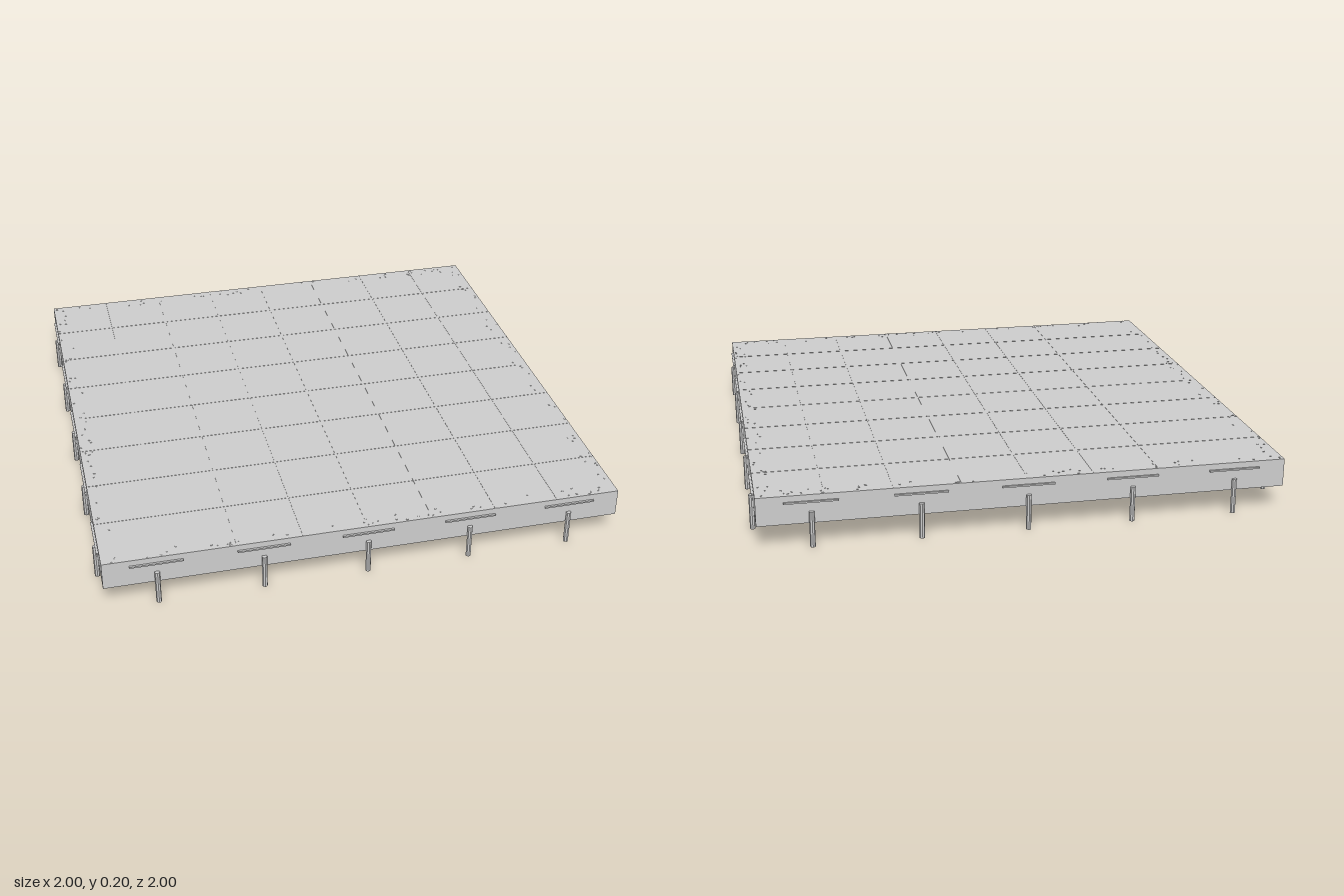
import * as THREE from 'three';

const HALF = 0.985, BOTTOM = 0.09, TOP = 0.198;

export function createModel() {
  const group = new THREE.Group();
  const mat = new THREE.MeshStandardMaterial({ color: 0xcccccc, flatShading: true });
  const add = (name, geometry, x, y, z, parent = group) => {
    const mesh = new THREE.Mesh(geometry, mat);
    mesh.name = name;
    mesh.position.set(x, y, z);
    parent.add(mesh);
    return mesh;
  };

  // Main slab
  add('slab', new THREE.BoxGeometry(2 * HALF, TOP - BOTTOM, 2 * HALF), 0, (TOP + BOTTOM) / 2, 0);

  // Thin seams dividing the top into eight by eight panels
  const seams = new THREE.Group();
  seams.name = 'panelSeams';
  group.add(seams);
  for (let i = -3; i <= 3; i++) {
    const p = i * HALF / 4;
    const length = i === 0 ? 1.88 : 2 * HALF;
    const width = i === 0 ? 0.008 : 0.005;
    add('seamAlongZ', new THREE.BoxGeometry(width, 0.002, length), p, TOP, 0, seams);
    add('seamAlongX', new THREE.BoxGeometry(length, 0.002, width), 0, TOP, p, seams);
  }

  // Posts and narrow edge strips, repeated on all four sides
  const post = new THREE.CylinderGeometry(0.01, 0.01, 0.135, 8);
  const strip = new THREE.BoxGeometry(0.196, 0.006, 0.012);
  for (let s = 0; s < 4; s++) {
    const side = new THREE.Group();
    side.name = 'edgeFittings';
    side.rotation.y = s * Math.PI / 2;
    group.add(side);
    for (let i = -2; i <= 2; i++) {
      add('post', post, i * 0.394, 0.0675, 0.99, side);
      add('edgeStrip', strip, i * 0.394, 0.172, 0.987, side);
    }
  }

  // Small flat chips scattered along the rim of the top
  let seed = 7;
  const random = () => (seed = (seed * 16807) % 2147483647) / 2147483647;
  const chip = new THREE.IcosahedronGeometry(0.005, 0);
  const chips = new THREE.Group();
  chips.name = 'rimChips';
  group.add(chips);
  for (let i = 0; i < 160; i++) {
    const along = (random() * 2 - 1) * 0.97;
    const across = (0.93 + random() * 0.05) * (i % 2 ? 1 : -1);
    const alongX = i % 4 < 2;
    const mesh = add('chip', chip, alongX ? along : across, TOP, alongX ? across : along, chips);
    mesh.scale.set(1, 0.4, 0.5);
    mesh.rotation.y = random() * Math.PI;
  }
  return group;
}
